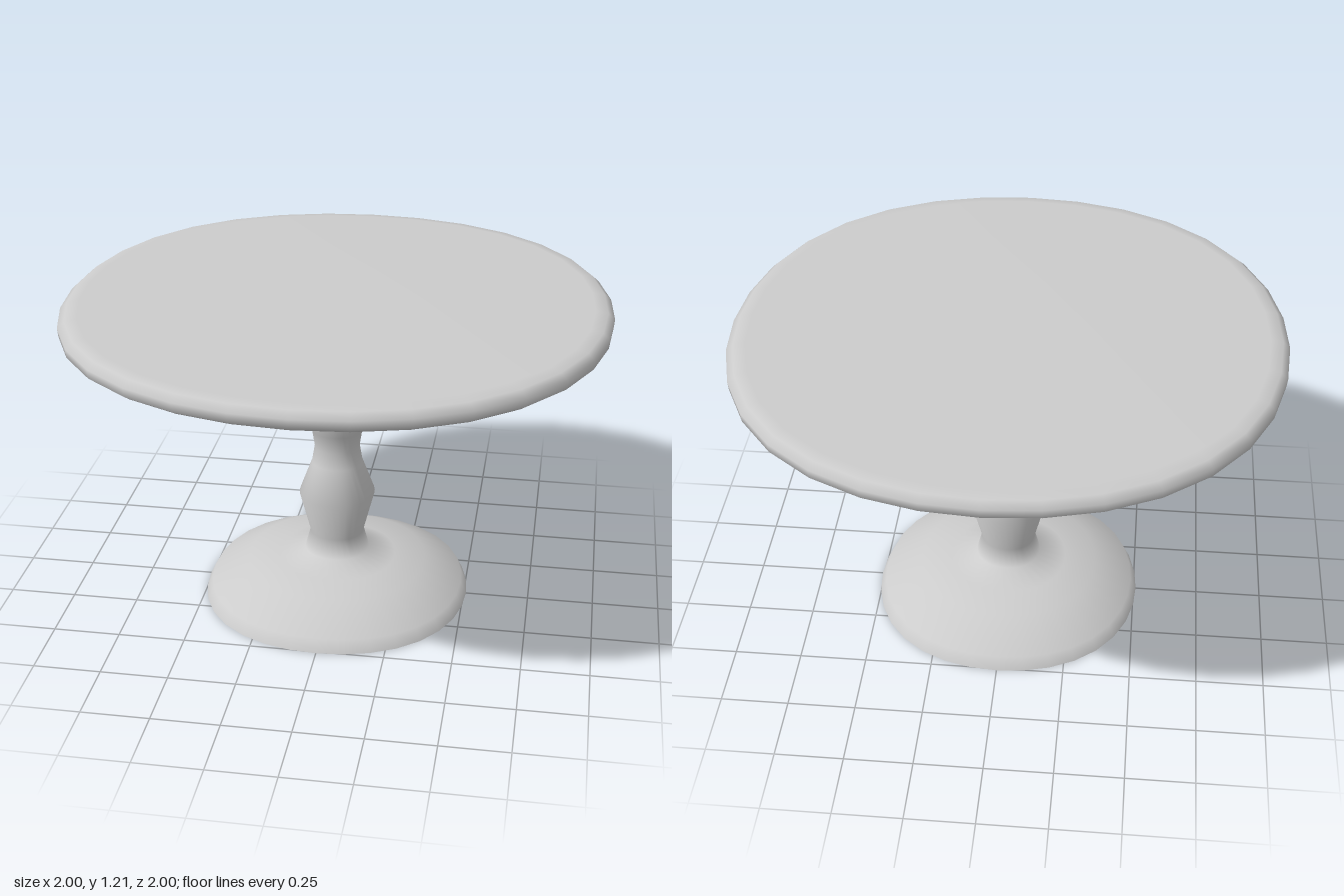
import * as THREE from 'three';
import { mergeVertices } from 'three/addons/utils/BufferGeometryUtils.js';

const SIDES = 32;

// Profiles as [radius, height]; each part starts at the last point of the one before
const BASE = [[0.51, 0], [0.487, 0.048], [0.342, 0.128], [0.225, 0.144], [0.123, 0.176]];
const STEM = [[0.102, 0.25], [0.144, 0.415], [0.096, 0.545], [0.085, 0.61], [0.096, 0.68],
  [0.144, 0.805], [0.102, 0.98], [0.107, 1.045]];
const PLATE = [[0.166, 1.085], [0.337, 1.112], [0.975, 1.132], [0.997, 1.148], [1, 1.18],
  [0.975, 1.202], [0.93, 1.208], [0, 1.208]];

// Whole turned surface, very slightly squared, with normals smooth across the joints
function turnedSurface(profile) {
  const geometry = new THREE.LatheGeometry(profile.map(([r, y]) => new THREE.Vector2(r, y)), SIDES);
  const p = geometry.attributes.position;
  for (let i = 0; i < p.count; i++) {
    const x = p.getX(i), z = p.getZ(i);
    const k = 1 + 0.0125 * (1 - Math.cos(4 * Math.atan2(z, x)));
    p.setX(i, x * k);
    p.setZ(i, z * k);
  }
  geometry.deleteAttribute('uv');
  geometry.deleteAttribute('normal');
  const merged = mergeVertices(geometry, 1e-5);
  merged.computeVertexNormals();
  return merged;
}

// Keeps only the bands of the surface between two profile points
function bands(surface, rows, from, to) {
  const kept = Array.from(surface.index.array).filter((_, i) => {
    const row = Math.floor(i / 6) % rows;
    return row >= from && row < to;
  });
  const part = surface.clone();
  part.setIndex(kept);
  return part.toNonIndexed();
}

export function createModel() {
  const group = new THREE.Group();
  group.name = 'pedestalStand';
  // The stand is a thin shell, open underneath
  const material = new THREE.MeshStandardMaterial({ color: 0xcccccc, side: THREE.DoubleSide });

  const profile = [...BASE, ...STEM, ...PLATE];
  const rows = profile.length - 1;
  const surface = turnedSurface(profile);
  const stemStart = BASE.length - 1;
  const plateStart = stemStart + STEM.length;

  const parts = [['base', 0, stemStart], ['stem', stemStart, plateStart], ['plate', plateStart, rows]];
  for (const [name, from, to] of parts) {
    const mesh = new THREE.Mesh(bands(surface, rows, from, to), material);
    mesh.name = name;
    group.add(mesh);
  }
  return group;
}
